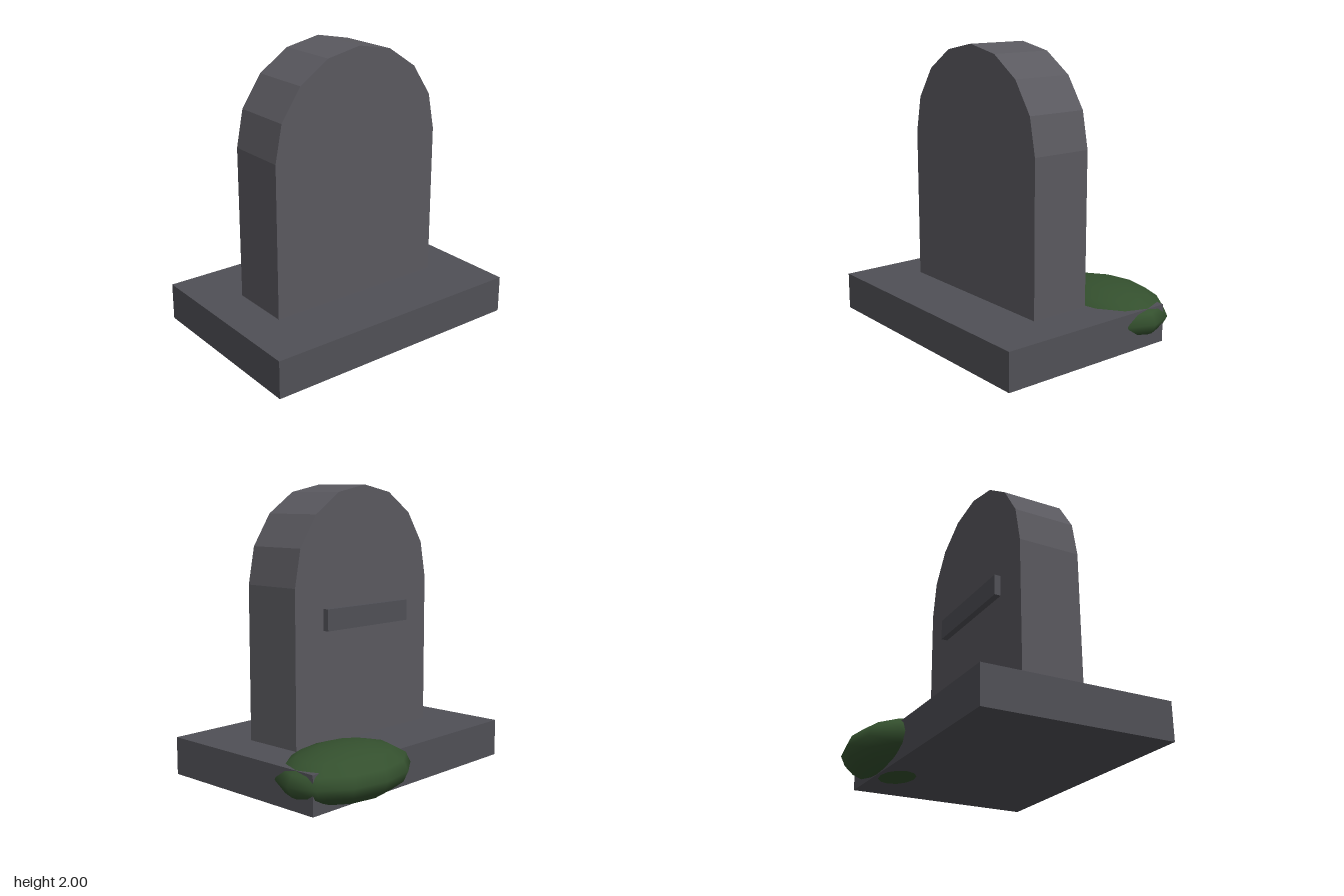
import * as THREE from 'three';

export function createModel() {
  const model = new THREE.Group();
  const stone = new THREE.MeshStandardMaterial({ color: 0x5a595f, flatShading: true });
  const darkStone = new THREE.MeshStandardMaterial({ color: 0x505056, flatShading: true });
  const leaf = new THREE.MeshStandardMaterial({ color: 0x34502e });

  const add = (name, geometry, material, x, y, z) => {
    const mesh = new THREE.Mesh(geometry, material);
    mesh.name = name;
    mesh.position.set(x, y, z);
    model.add(mesh);
    return mesh;
  };

  // Plinth
  add('base', new THREE.BoxGeometry(1.915, 0.262, 1.325), darkStone, -0.0425, 0.143, 0.1075);

  // Upright slab with an eight-sided round top
  const radius = 0.661, spring = 1.339, foot = 0.2;
  const outline = [new THREE.Vector2(-radius, foot), new THREE.Vector2(radius, foot)];
  for (let i = 0; i <= 8; i++) {
    const a = (i / 8) * Math.PI;
    outline.push(new THREE.Vector2(radius * Math.cos(a), spring + radius * Math.sin(a)));
  }
  const slab = new THREE.ExtrudeGeometry(new THREE.Shape(outline), { depth: 0.442, bevelEnabled: false });
  add('headstone', slab, stone, -0.04, 0, -0.11);

  // Raised plate on the back face
  add('plaque', new THREE.BoxGeometry(0.805, 0.146, 0.07), darkStone, -0.0375, 1.116, -0.12);

  // Flattened bush over the rear corner of the plinth
  const bush = add('bush', new THREE.SphereGeometry(1, 12, 8), leaf, 0.48, 0.183, -0.41);
  bush.scale.set(0.51, 0.183, 0.366);

  return model;
}
